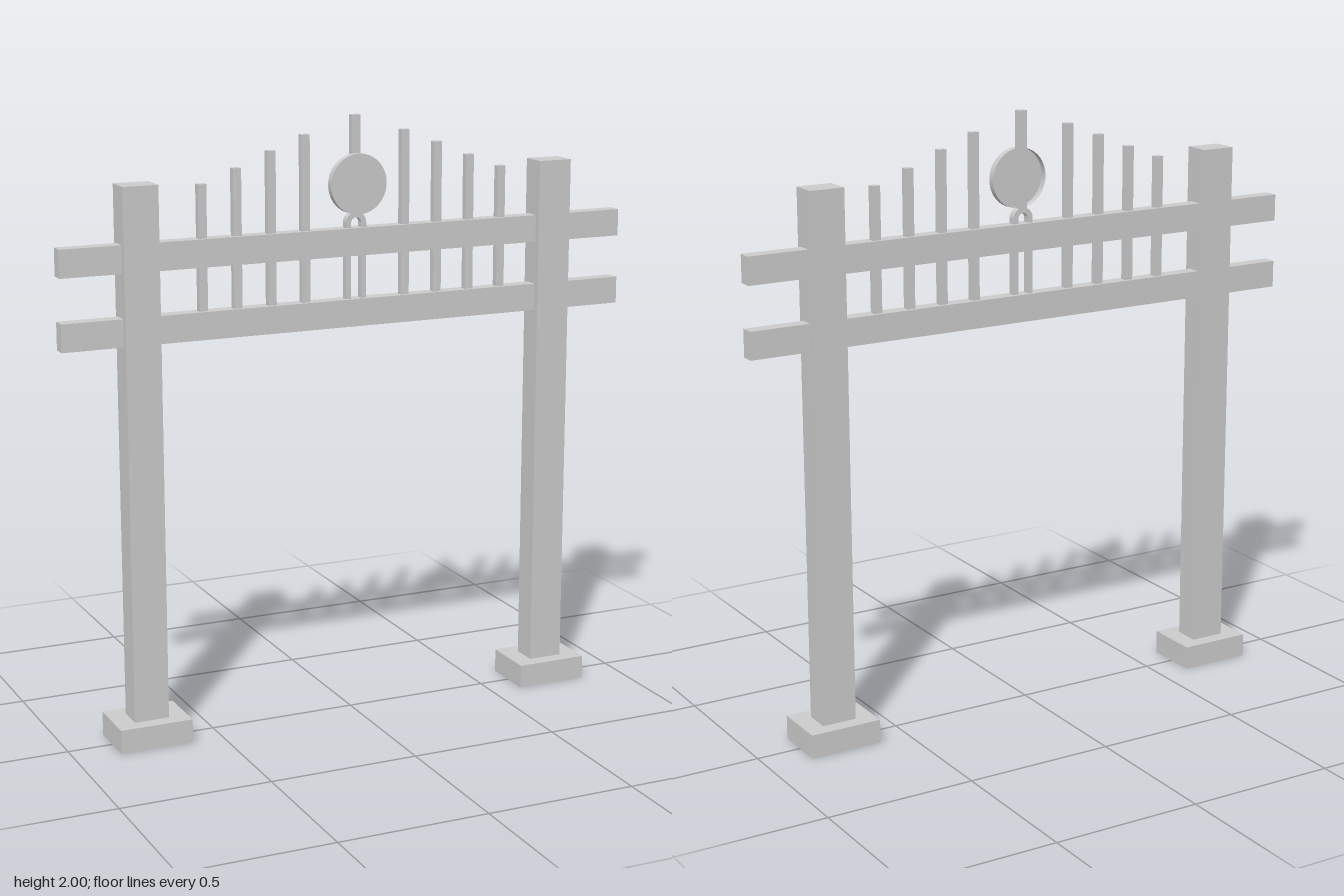
import * as THREE from 'three';

const material = new THREE.MeshStandardMaterial({ color: 0xcccccc, flatShading: true });
const shellMaterial = new THREE.MeshStandardMaterial({ color: 0xcccccc, flatShading: true, side: THREE.DoubleSide });
const smoothShell = new THREE.MeshStandardMaterial({ color: 0xcccccc, side: THREE.DoubleSide });

const CENTRE_X = 0.015; // the railing sits slightly off the gate's middle
const LOWER_RAIL_TOP = 1.405;

function addMesh(parent, name, geometry, mat, x = 0, y = 0, z = 0) {
  const mesh = new THREE.Mesh(geometry, mat);
  mesh.name = name;
  mesh.position.set(x, y, z);
  parent.add(mesh);
  return mesh;
}

// Upright box given by its bottom and top heights
function addBar(parent, name, x, bottom, top, width, depth) {
  return addMesh(parent, name, new THREE.BoxGeometry(width, top - bottom, depth), material, x, (bottom + top) / 2);
}

// Stepped four-sided shell, open underneath: footing block running into the post
function postGeometry() {
  const profile = [[0.122, 0], [0.122, 0.08], [0.0585, 0.08], [0.0585, 1.82], [0, 1.82]]
    .map(([half, y]) => new THREE.Vector2(half * Math.SQRT2, y));
  const geometry = new THREE.LatheGeometry(profile, 4).rotateY(Math.PI / 4).scale(1, 1, 0.766).toNonIndexed();
  geometry.computeVertexNormals();
  return geometry;
}

// Round-topped hoop with two straight legs
function hoopGeometry(outer, inner, bottom, springY, depth) {
  const shape = new THREE.Shape();
  shape.moveTo(outer, bottom);
  shape.lineTo(outer, springY);
  shape.absarc(0, springY, outer, 0, Math.PI, false);
  shape.lineTo(-outer, bottom);
  shape.lineTo(-inner, bottom);
  shape.lineTo(-inner, springY);
  shape.absarc(0, springY, inner, Math.PI, 0, true);
  shape.lineTo(inner, bottom);
  shape.closePath();
  return new THREE.ExtrudeGeometry(shape, { depth, bevelEnabled: false, curveSegments: 12 })
    .translate(0, 0, -depth / 2);
}

export function createModel() {
  const gate = new THREE.Group();
  gate.name = 'gate';

  // Posts with footings
  const post = postGeometry();
  addMesh(gate, 'leftPost', post, shellMaterial, 0.728);
  addMesh(gate, 'rightPost', post, shellMaterial, -0.728);

  // Rails running through both posts
  const rail = new THREE.BoxGeometry(1.976, 0.09, 0.048);
  addMesh(gate, 'lowerRail', rail, material, 0, 1.36);
  addMesh(gate, 'upperRail', rail, material, 0, 1.592);

  // Pickets rising towards the middle
  const pickets = new THREE.Group();
  pickets.name = 'pickets';
  gate.add(pickets);
  [1.945, 1.9, 1.852, 1.808].forEach((top, i) => {
    for (const side of [-1, 1]) {
      const x = CENTRE_X + side * (0.176 + 0.1175 * i);
      addBar(pickets, 'picket', x, LOWER_RAIL_TOP - 0.005, top, 0.028, 0.024);
    }
  });

  // Centre ornament: hoop, spike and round plate
  const ornament = new THREE.Group();
  ornament.name = 'centreOrnament';
  ornament.position.x = CENTRE_X;
  gate.add(ornament);
  addMesh(ornament, 'hoop', hoopGeometry(0.036, 0.018, LOWER_RAIL_TOP, 1.652, 0.024), material);
  addBar(ornament, 'spike', 0, 1.68, 2, 0.029, 0.024);

  // Plate is a shallow dish, open at the back
  const rim = new THREE.CylinderGeometry(0.098, 0.098, 0.024, 48, 1, true).rotateX(Math.PI / 2);
  addMesh(ornament, 'plateRim', rim, smoothShell, 0, 1.78, 0.022);
  addMesh(ornament, 'plateFace', new THREE.CircleGeometry(0.098, 48), smoothShell, 0, 1.78, 0.034);

  return gate;
}
